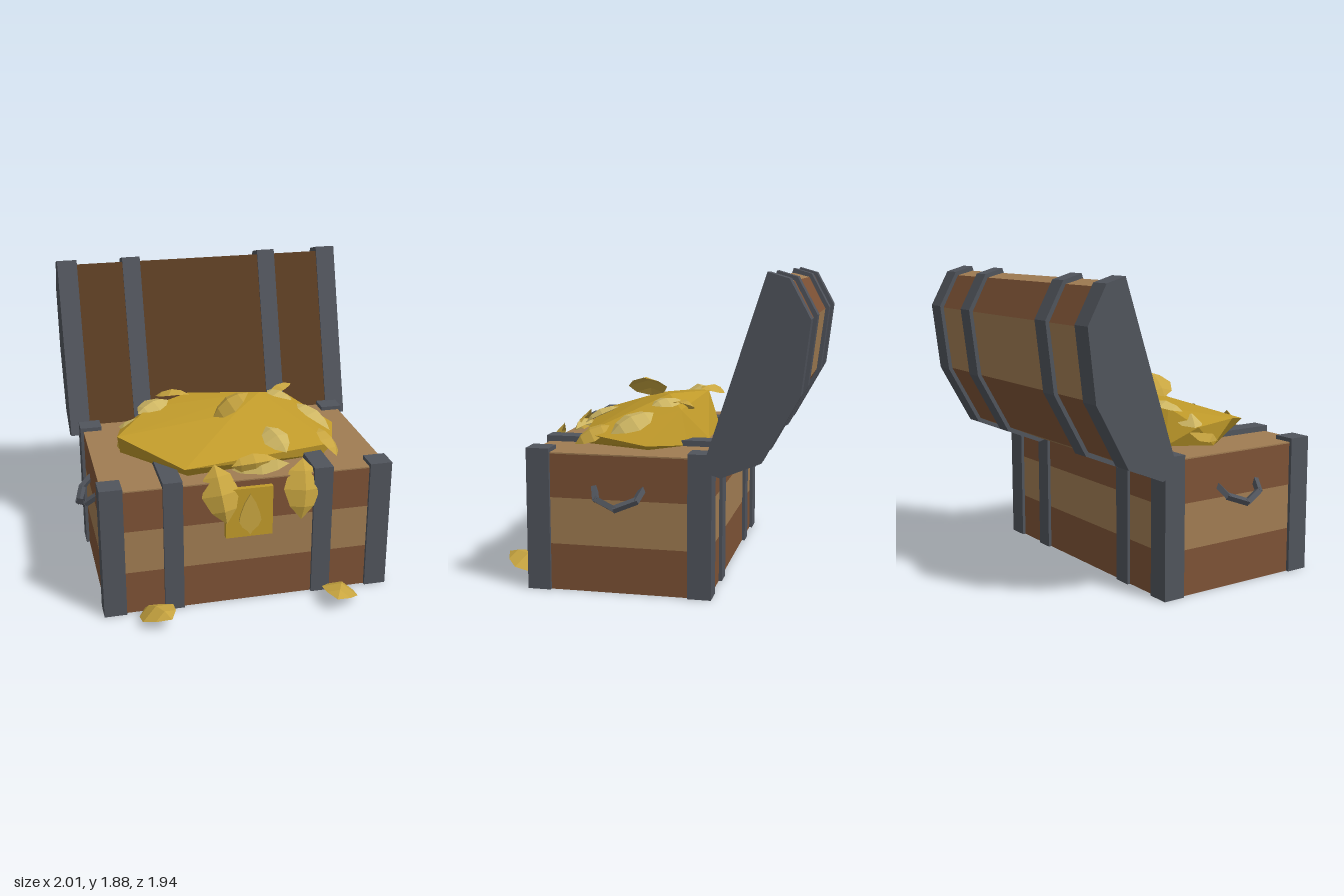
import * as THREE from 'three';
import { ConvexGeometry } from 'three/addons/geometries/ConvexGeometry.js';

const mat = (name, color, side = THREE.FrontSide) => {
  const m = new THREE.MeshStandardMaterial({ color, flatShading: true, side });
  m.name = name;
  return m;
};
const V = (a) => new THREE.Vector3(...a);

export function createModel() {
  const model = new THREE.Group();
  model.name = 'treasureChest';
  const darkWood = mat('darkWood', 0x7d5235);
  const lightWood = mat('lightWood', 0xa07c52);
  const lining = mat('liningWood', 0x5c3d22);
  const iron = mat('iron', 0x50545c);
  const gold = mat('gold', 0xc09a2a);
  const leafGold = mat('leafGold', 0xc8a540, THREE.DoubleSide);
  const paleGold = mat('paleGold', 0xcdb562, THREE.DoubleSide);

  const add = (name, geo, material) => {
    const mesh = new THREE.Mesh(geo, material);
    mesh.name = name;
    model.add(mesh);
    return mesh;
  };
  // Box given by its extents on each axis
  const box = (name, material, [x0, x1], [y0, y1], [z0, z1]) => {
    const g = new THREE.BoxGeometry(x1 - x0, y1 - y0, z1 - z0);
    g.translate((x0 + x1) / 2, (y0 + y1) / 2, (z0 + z1) / 2);
    return add(name, g, material);
  };
  // Prism along x from a (z, y) outline
  const prism = (name, material, outline, x0, x1) => {
    const shape = new THREE.Shape(outline.map(([z, y]) => new THREE.Vector2(z, y)));
    const g = new THREE.ExtrudeGeometry(shape, { depth: x1 - x0, bevelEnabled: false });
    g.rotateY(-Math.PI / 2).translate(x1, 0, 0);
    return add(name, g, material);
  };

  // Planked body, hollow below the floor
  const X = [-0.89, 0.89], Z = [-0.4, 0.67];
  box('frontSkirt', darkWood, X, [0, 0.28], [0.65, 0.67]);
  box('backSkirt', darkWood, X, [0, 0.28], [-0.4, -0.38]);
  for (const s of [-0.88, 0.88]) box('sideSkirt', darkWood, [s - 0.01, s + 0.01], [0, 0.28], [-0.38, 0.65]);
  box('floor', lining, [-0.87, 0.87], [0.25, 0.275], [-0.38, 0.65]);
  box('middlePlank', lightWood, X, [0.28, 0.56], Z);
  box('upperPlank', darkWood, X, [0.56, 0.822], Z);
  box('topBoard', lightWood, X, [0.822, 0.83], Z);

  // Iron corner posts and wrap-around bands
  for (const s of [-1, 1]) {
    const span = (a, b) => (s > 0 ? [a, b] : [-b, -a]);
    for (const z of [[0.55, 0.69], [-0.42, -0.28]]) box('cornerPost', iron, span(0.77, 0.91), [0, 0.855], z);
    box('bodyBand', iron, span(0.41, 0.53), [0, 0.865], [-0.42, 0.69]);
  }

  // Open lid: wedges share a centre line so each plank has its own colour
  const core = [[-0.73, 1.855], [-0.835, 1.828], [-0.945, 1.62], [-0.895, 1.215],
    [-0.695, 0.855], [-0.48, 0.762], [-0.386, 0.795]];
  core.forEach((p, i) => {
    const wood = i === 6 ? lining : i % 2 ? darkWood : lightWood;
    prism(i === 6 ? 'lidLining' : 'lidPlank', wood, [p, core[(i + 1) % 7], [-0.68, 1.3]], -0.85, 0.85);
  });
  const rim = [[-0.73, 1.885], [-0.85, 1.85], [-0.97, 1.63], [-0.92, 1.21],
    [-0.71, 0.83], [-0.48, 0.735], [-0.37, 0.77]];
  for (const [a, b] of [[0.835, 0.965], [0.41, 0.53]]) {
    prism('lidBand', iron, rim, a, b);
    prism('lidBand', iron, rim, -b, -a);
  }

  // Side handles from square bars
  const path = [[0.88, 0.63, 0.28], [0.945, 0.575, 0.255], [0.98, 0.53, 0.135],
    [0.945, 0.575, 0.015], [0.88, 0.63, -0.01]];
  for (const s of [-1, 1]) {
    for (let i = 0; i < 4; i++) {
      const a = V(path[i]), b = V(path[i + 1]);
      a.x *= s;
      b.x *= s;
      const d = b.clone().sub(a);
      const bar = add('handle', new THREE.CylinderGeometry(0.023, 0.023, d.length() + 0.015, 4), iron);
      bar.position.copy(a).add(b).multiplyScalar(0.5);
      bar.quaternion.setFromUnitVectors(new THREE.Vector3(0, 1, 0), d.normalize());
    }
  }

  // Lock plate with a raised leaf
  box('lockPlate', gold, [-0.15, 0.145], [0.46, 0.785], [0.66, 0.703]);
  const half = [[0.015, 0.5], [0.05, 0.53], [0.07, 0.57], [0.06, 0.62], [0.035, 0.69]];
  const emblem = new THREE.Shape([[0, 0.475], ...half, [0, 0.75],
    ...half.map(([x, y]) => [-x, y]).reverse()].map(([x, y]) => new THREE.Vector2(x, y)));
  add('lockLeaf', new THREE.ExtrudeGeometry(emblem, { depth: 0.012, bevelEnabled: false })
    .translate(0, 0, 0.703), leafGold);

  // Faceted mound of gold
  add('goldMound', new ConvexGeometry([
    [-0.73, 0.99, 0.22], [-0.38, 0.9, 0.6], [0.04, 1.06, 0.17], [0.61, 0.9, 0.42], [0.75, 0.86, 0],
    [0.25, 1.11, -0.03], [0.46, 1.04, -0.15], [-0.2, 1.08, -0.2], [-0.48, 1.05, -0.08], [-0.68, 0.95, 0],
    [-0.7, 0.83, 0.1], [-0.35, 0.83, 0.54], [0.55, 0.83, 0.42], [0.7, 0.83, 0], [0.5, 0.83, -0.2],
    [0.22, 0.83, -0.28], [-0.2, 0.83, -0.28], [-0.55, 0.83, -0.15]].map(V)), gold);

  // Leaf folded along its midrib: rows are [along, half width, bend]
  const rows = [[-0.5, 0, -0.05], [-0.3, 0.36, 0], [0, 0.5, 0.04], [0.28, 0.33, 0.02], [0.5, 0, -0.05]];
  const leaf = (name, material, centre, along, normal, length, width) => {
    const pos = [], index = [];
    rows.forEach(([t, w, h]) => {
      for (const s of [-1, 0, 1]) pos.push(s * w * width, (h + (s ? -0.08 : 0.08) * w * 2) * length, t * length);
    });
    for (let r = 0; r < 4; r++) {
      for (let c = 0; c < 2; c++) {
        const k = r * 3 + c;
        if (r < 3) index.push(k, k + 3, k + 4);
        else index.push(k, k + 4, k + 1);
        if (r > 0 && r < 3) index.push(k, k + 4, k + 1);
      }
    }
    const g = new THREE.BufferGeometry();
    g.setAttribute('position', new THREE.Float32BufferAttribute(pos, 3));
    g.setIndex(index);
    g.computeVertexNormals();
    const z = V(along).normalize();
    const x = V(normal).cross(z).normalize();
    const y = z.clone().cross(x);
    g.applyMatrix4(new THREE.Matrix4().makeBasis(x, y, z).setPosition(...centre));
    add(name, g, material);
  };

  // Leaves hanging over the front and lying on the ground
  leaf('hangingLeaf', leafGold, [-0.18, 0.76, 0.7], [0.05, -0.34, 0.12], [-0.1, 0.3, 1], 0.37, 0.23);
  leaf('hangingLeaf', leafGold, [0.335, 0.74, 0.7], [-0.03, -0.36, 0.1], [0.1, 0.3, 1], 0.38, 0.24);
  leaf('groundLeaf', leafGold, [-0.6, 0.075, 0.81], [0.12, 0.07, 0.27], [-0.25, 1, -0.15], 0.31, 0.23);
  leaf('groundLeaf', leafGold, [0.56, 0.075, 0.82], [-0.12, 0.07, 0.28], [0.25, 1, -0.15], 0.32, 0.23);

  // Leaves scattered on the mound
  [
    [[0, 1.13, 0.17], [0.22, 0.14, 0], [-0.5, 0.87, 0], 0.27, 0.26],
    [[-0.45, 1.06, -0.08], [0.2, 0.03, -0.1], [-0.1, 1, 0.2], 0.25, 0.19],
    [[-0.66, 0.92, 0.05], [-0.1, -0.1, 0.15], [-0.8, 0.5, 0.2], 0.22, 0.17],
    [[-0.58, 0.99, 0.02], [0.2, 0.05, 0.1], [-0.3, 1, -0.2], 0.25, 0.2],
    [[-0.3, 1.08, -0.21], [0.18, 0.03, 0.1], [0, 1, -0.3], 0.24, 0.15],
    [[0.39, 1.08, -0.04], [0.1, -0.02, 0.12], [0.3, 1, 0], 0.2, 0.16],
    [[0.41, 1.07, -0.16], [0.2, 0.04, -0.1], [0.1, 1, -0.4], 0.24, 0.14],
    [[0.58, 0.98, 0.13], [0.14, -0.1, 0.2], [0.6, 0.8, 0.2], 0.3, 0.2],
    [[0.6, 0.9, 0.38], [0.05, -0.1, 0.18], [0.5, 0.8, 0.2], 0.24, 0.16],
    [[0.24, 0.97, 0.42], [0.08, -0.1, 0.2], [0, 0.8, 0.5], 0.24, 0.17],
    [[0.06, 0.89, 0.58], [0.25, 0.02, 0], [0, 0.4, 1], 0.29, 0.12],
    [[0.1, 0.87, 0.57], [0.3, 0.02, 0.03], [0, 1, 0.5], 0.36, 0.14],
  ].forEach((l, i) => leaf('moundLeaf', i % 2 ? paleGold : leafGold, ...l));

  return model;
}
